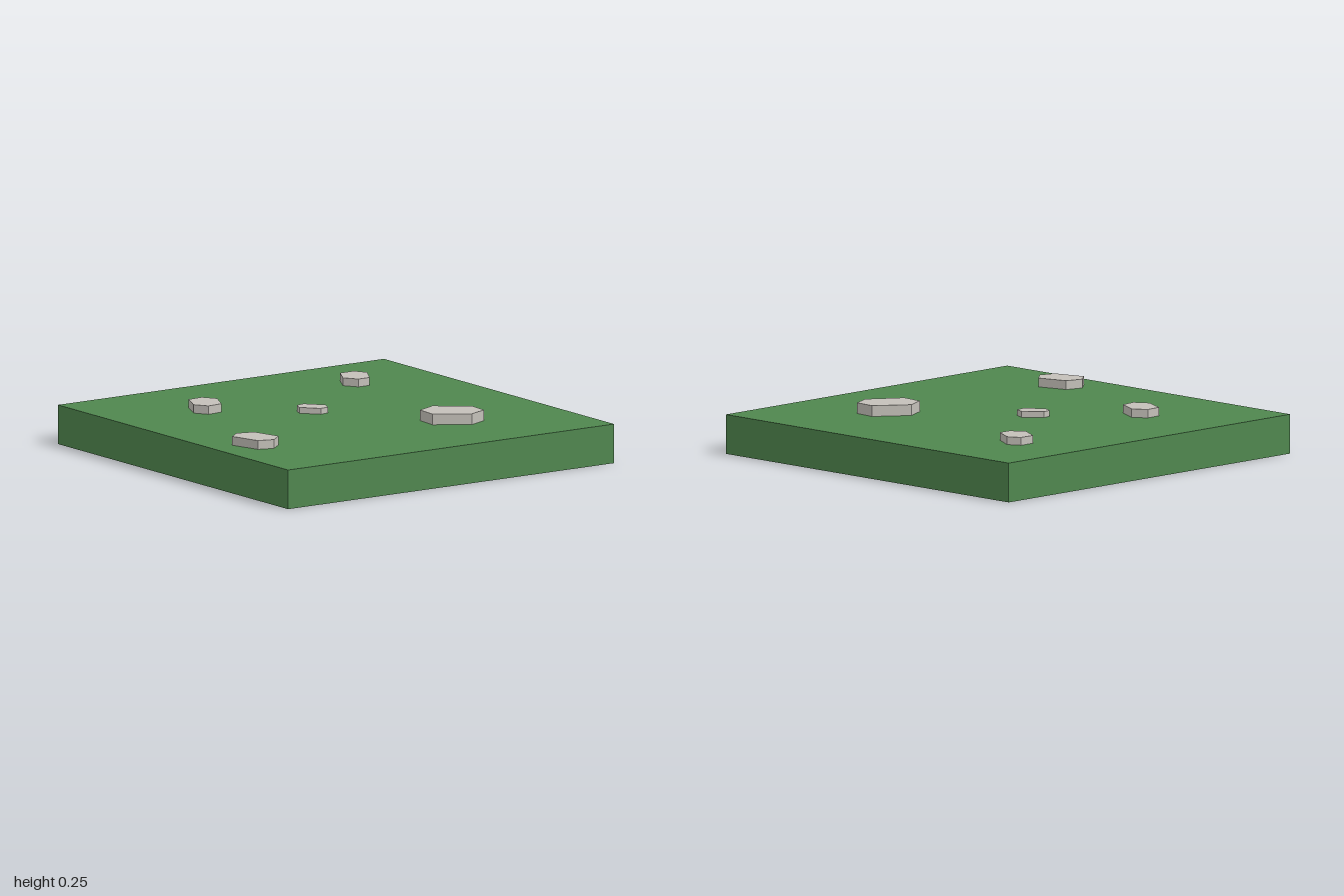
import * as THREE from 'three';

export function createModel() {
  const group = new THREE.Group();
  const grass = new THREE.MeshStandardMaterial({ color: 0x4f864e });
  grass.name = 'grass green';
  const stone = new THREE.MeshStandardMaterial({ color: 0xc4c0b9 });
  stone.name = 'pale stone';

  // Square slab of ground
  const top = 0.2;
  const ground = new THREE.Mesh(new THREE.BoxGeometry(2, top, 2), grass);
  ground.name = 'ground';
  ground.position.y = top / 2;
  group.add(ground);

  // Flat six-sided stones: height above the ground and [x, z] outline
  const stones = [
    ['backRightStone', 0.04, [[-0.68, -0.59], [-0.615, -0.625], [-0.5, -0.56], [-0.5, -0.49], [-0.57, -0.445], [-0.68, -0.505]]],
    ['backLeftStone', 0.055, [[0.44, -0.525], [0.555, -0.515], [0.6, -0.41], [0.49, -0.245], [0.37, -0.255], [0.32, -0.365]]],
    ['middleStone', 0.03, [[-0.11, -0.013], [-0.055, 0.01], [-0.047, 0.06], [-0.13, 0.133], [-0.185, 0.11], [-0.195, 0.06]]],
    ['frontRightStone', 0.043, [[-0.5, 0.375], [-0.38, 0.435], [-0.37, 0.52], [-0.44, 0.563], [-0.565, 0.505], [-0.57, 0.42]]],
    ['frontLeftStone', 0.045, [[0.455, 0.673], [0.515, 0.745], [0.49, 0.825], [0.33, 0.87], [0.275, 0.805], [0.3, 0.715]]],
  ];
  for (const [name, height, outline] of stones) {
    const shape = new THREE.Shape(outline.map(([x, z]) => new THREE.Vector2(x, -z)));
    const geometry = new THREE.ExtrudeGeometry(shape, { depth: height, bevelEnabled: false });
    geometry.rotateX(-Math.PI / 2);
    const mesh = new THREE.Mesh(geometry, stone);
    mesh.name = name;
    mesh.position.y = top;
    group.add(mesh);
  }
  return group;
}
